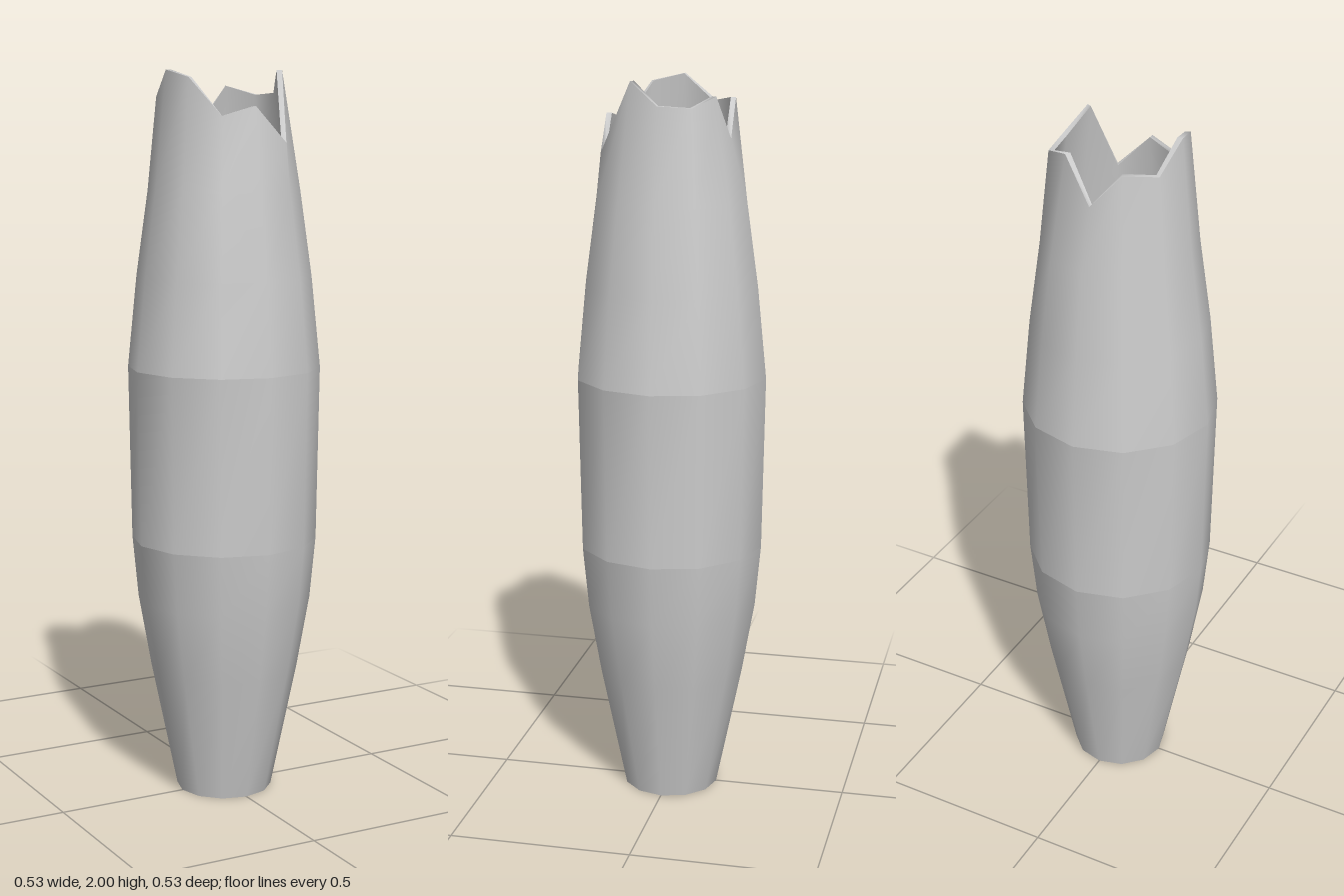
import * as THREE from 'three';

const SIDES = 12;
const WALL = 0.015;

// Broken lip: [radius, height] every 30 degrees, from +x towards +z
const LIP = [
  [0.168, 1.94], [0.156, 2.0], [0.194, 1.81], [0.177, 1.905],
  [0.177, 1.88], [0.176, 1.98], [0.174, 2.0], [0.182, 1.93],
  [0.181, 1.945], [0.162, 1.845], [0.159, 1.96], [0.179, 1.935],
];

// Rings of [radius, height] pairs, one pair per side
const ring = (r, y) => Array.from({ length: SIDES }, () => [r, y]);
const lip = (inset) => LIP.map(([r, y]) => [r - inset, y]);

// Skin a stack of rings with smooth normals
function loft(name, rings) {
  const pos = [];
  const index = [];
  rings.forEach((points) => points.forEach(([r, y], i) => {
    const a = (i / SIDES) * Math.PI * 2;
    pos.push(r * Math.cos(a), y, r * Math.sin(a));
  }));
  for (let j = 0; j < rings.length - 1; j++) {
    for (let i = 0; i < SIDES; i++) {
      const a = j * SIDES + i;
      const b = j * SIDES + ((i + 1) % SIDES);
      index.push(a, a + SIDES, b, b, a + SIDES, b + SIDES);
    }
  }
  const geo = new THREE.BufferGeometry();
  geo.setAttribute('position', new THREE.Float32BufferAttribute(pos, 3));
  geo.setIndex(index);
  geo.computeVertexNormals();
  const mesh = new THREE.Mesh(geo, new THREE.MeshStandardMaterial({ color: 0xcccccc }));
  mesh.name = name;
  return mesh;
}

export function createModel() {
  const group = new THREE.Group();
  group.name = 'brokenVase';

  const lower = [[0.133, 0], [0.205, 0.35], [0.24, 0.55], [0.256, 0.72]];
  const middle = [[0.256, 0.72], [0.264, 1.2]];
  const upper = [[0.264, 1.2], [0.239, 1.45], [0.207, 1.68]];
  const rings = (profile) => profile.map(([r, y]) => ring(r, y));

  // Outer wall in three bands, with soft creases between them
  group.add(loft('lowerBody', rings(lower)));
  group.add(loft('middleBand', rings(middle)));
  group.add(loft('upperBody', [...rings(upper), lip(0)]));

  // Thin broken edge
  group.add(loft('brokenRim', [lip(0), lip(WALL)]));

  // Hollow inside, from the lip down to the floor
  const inside = [...upper].reverse().concat([...lower].reverse())
    .map(([r, y]) => [r - WALL, Math.max(y, WALL)]);
  group.add(loft('innerWall', [lip(WALL), ...rings(inside), ring(0, WALL)]));

  // Flat underside
  group.add(loft('base', [ring(0, 0), ring(0.133, 0)]));

  return group;
}
